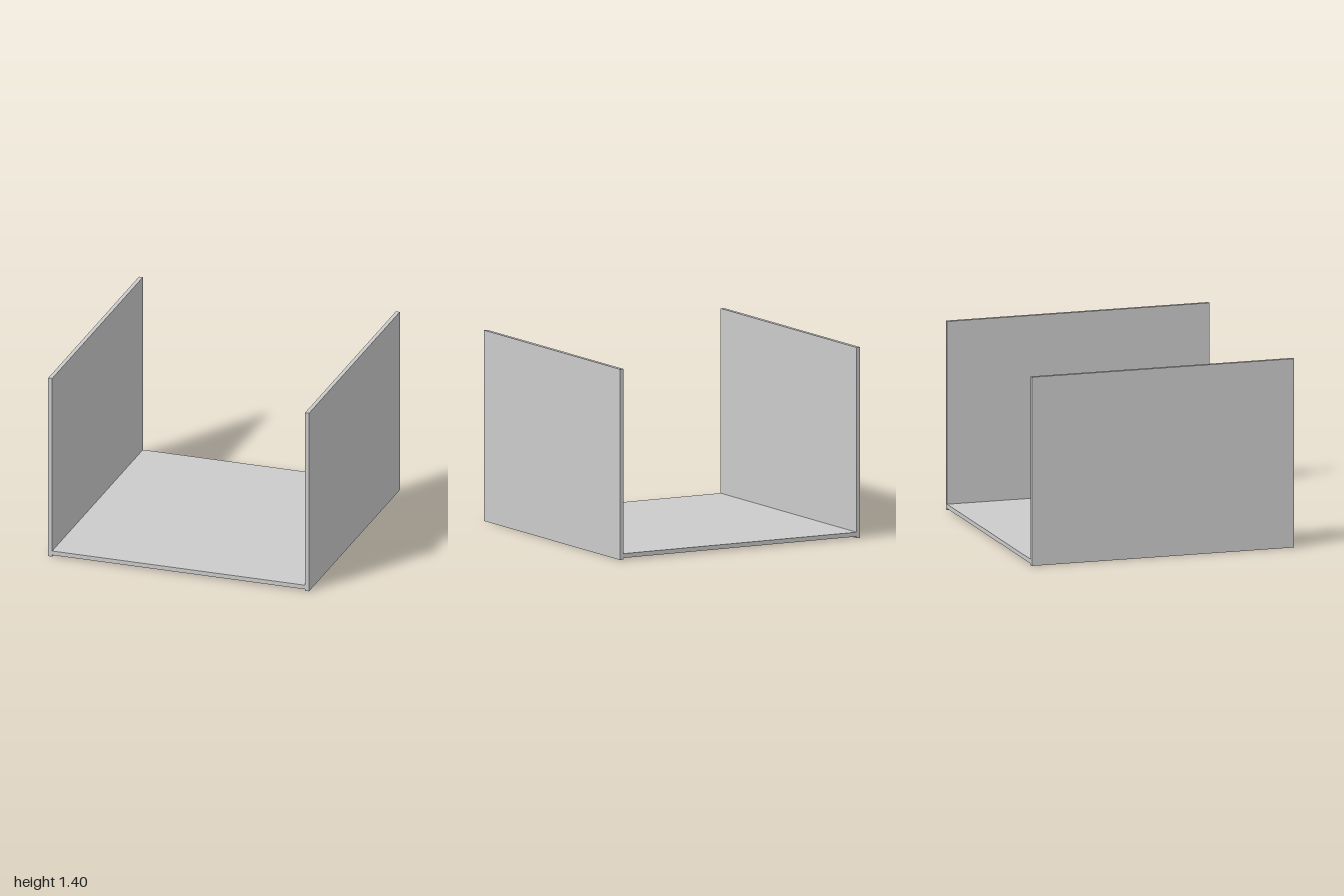
import * as THREE from 'three';

export function createModel() {
  const group = new THREE.Group();
  const material = new THREE.MeshStandardMaterial({ color: 0xcccccc });
  const height = 1.4, depth = 2, thickness = 0.03;

  const addPanel = (name, w, h, x, y) => {
    const panel = new THREE.Mesh(new THREE.BoxGeometry(w, h, depth), material);
    panel.name = name;
    panel.position.set(x, y, 0);
    group.add(panel);
  };

  // Floor panel, raised slightly above the lower edges of the walls
  addPanel('floorPanel', 2 - 2 * thickness, 0.032, 0, 0.028);

  // Upright side walls
  for (const [name, side] of [['leftWall', 1], ['rightWall', -1]]) {
    addPanel(name, thickness, height, side * (1 - thickness / 2), height / 2);
  }

  return group;
}
